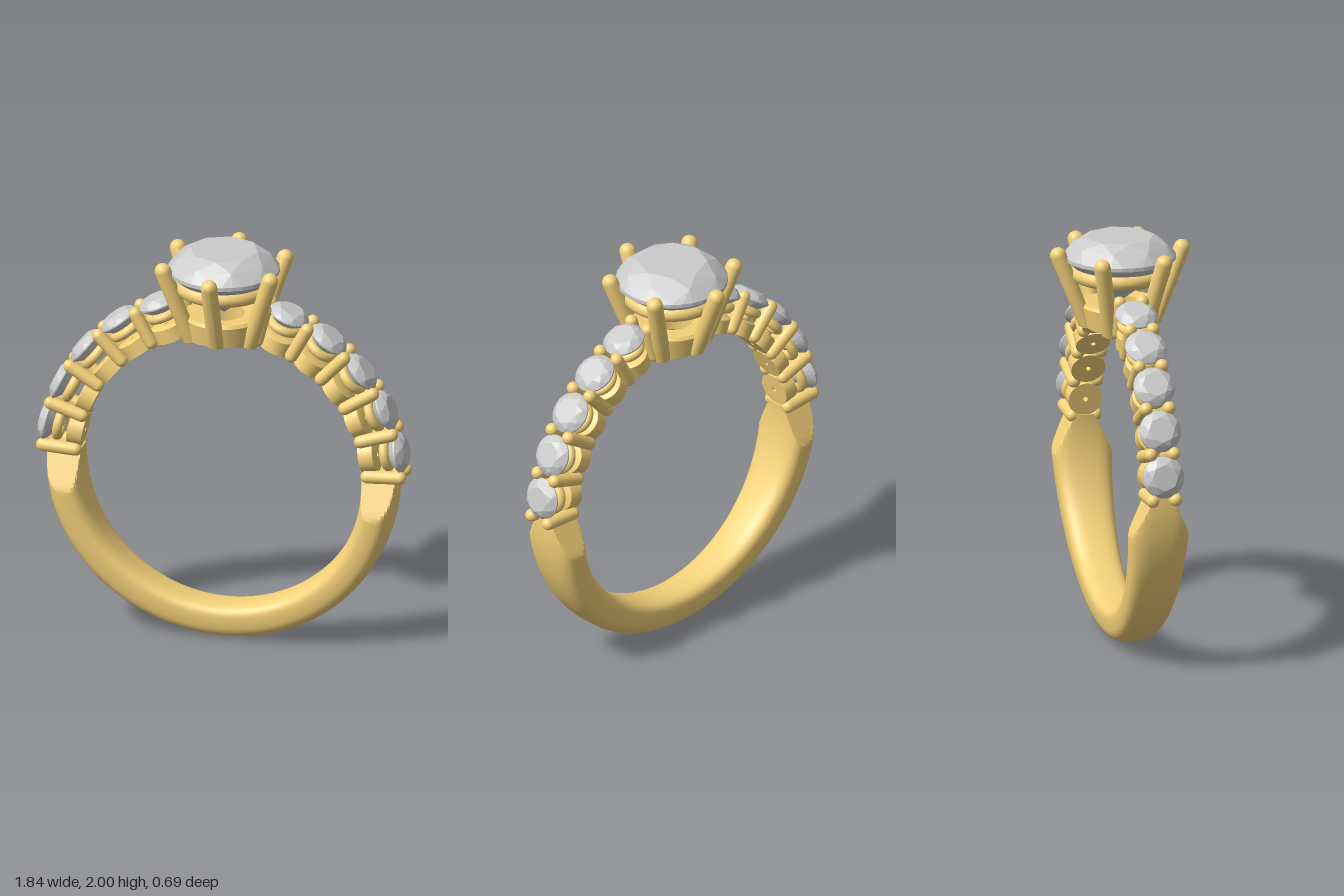
import * as THREE from 'three';
import { toCreasedNormals } from 'three/addons/utils/BufferGeometryUtils.js';
import { ConvexGeometry } from 'three/addons/geometries/ConvexGeometry.js';

const CY = 0.865, R_IN = 0.695, R_OUT = 0.865; // ring centre height and radii
const rad = THREE.MathUtils.degToRad;
const gold = new THREE.MeshStandardMaterial({ color: 0xf5d27a });
const gem = new THREE.MeshStandardMaterial({ color: 0xcccccc });

function add(parent, name, geometry, material = gold) {
  const mesh = new THREE.Mesh(geometry, material);
  mesh.name = name;
  parent.add(mesh);
  return mesh;
}

// Round-ended rod between two points
function rod(from, to, radius) {
  const dir = new THREE.Vector3().subVectors(to, from);
  const g = new THREE.CapsuleGeometry(radius, dir.length(), 6, 18);
  g.applyQuaternion(new THREE.Quaternion().setFromUnitVectors(new THREE.Vector3(0, 1, 0), dir.clone().normalize()));
  return g.translate((from.x + to.x) / 2, (from.y + to.y) / 2, (from.z + to.z) / 2);
}

// Trim anything reaching into the finger hole
function trimToFinger(g) {
  const p = g.attributes.position;
  for (let i = 0; i < p.count; i++) {
    const floor = CY + Math.sqrt(R_IN ** 2 - p.getX(i) ** 2);
    if (p.getY(i) < floor) p.setY(i, floor);
  }
  return toCreasedNormals(g, 0.6);
}

// Solid or hollow turned part with sharp edges
function turned(profile, segments = 48) {
  const g = new THREE.LatheGeometry(profile.map(([r, y]) => new THREE.Vector2(r, y)), segments);
  return toCreasedNormals(g, 0.6);
}

// Faceted round stone with its girdle at y = 0
function stoneGeometry(radius) {
  const points = [];
  const ring = (r, y, n, turn = 0) => {
    for (let i = 0; i < n; i++) {
      const a = ((i + turn) / n) * Math.PI * 2;
      points.push(new THREE.Vector3(r * Math.cos(a), y, r * Math.sin(a)).multiplyScalar(radius));
    }
  };
  ring(0.62, 0.37, 8);         // table
  ring(0.85, 0.235, 8, 0.5);   // crown
  ring(1, 0.035, 32);          // girdle
  ring(1, -0.035, 32);
  ring(0.6, -0.37, 16, 0.5);   // pavilion
  points.push(new THREE.Vector3(0, -0.84 * radius, 0));
  return new ConvexGeometry(points);
}

// Lower band: rounded section, widest at the shoulders, planed thin at its ends
function shankGeometry() {
  const steps = 120, sides = 36, pos = [], index = [];
  const start = rad(4), sweep = -(Math.PI + 2 * start);
  const soft = (v, e) => Math.sign(v) * Math.abs(v) ** e;
  for (let i = 0; i <= steps; i++) {
    const a = start + (sweep * i) / steps;
    for (let j = 0; j < sides; j++) {
      const t = (j / sides) * Math.PI * 2;
      const r = (R_IN + R_OUT) / 2 + ((R_OUT - R_IN) / 2) * soft(Math.cos(t), 0.65);
      const y = CY + r * Math.sin(a);
      const width = 0.088 + 0.057 * Math.min(1, Math.max(0, y) / 0.72) ** 0.75;
      const plane = Math.max(0.055, 0.06 + (0.89 - y) * 0.48);
      const z = Math.min(width * Math.abs(soft(Math.sin(t), 0.65)), plane) * Math.sign(Math.sin(t));
      pos.push(r * Math.cos(a), y, z);
    }
  }
  for (let i = 0; i < steps; i++) {
    for (let j = 0; j < sides; j++) {
      const k = (j + 1) % sides;
      const p = i * sides + j, q = i * sides + k, s = p + sides, u = q + sides;
      index.push(p, s, q, q, s, u);
    }
  }
  // End caps
  const last = steps * sides;
  for (let j = 1; j < sides - 1; j++) {
    index.push(0, j, j + 1, last, last + j + 1, last + j);
  }
  const g = new THREE.BufferGeometry();
  g.setAttribute('position', new THREE.Float32BufferAttribute(pos, 3));
  g.setIndex(index);
  // Make sure the skin faces outward
  const v = (n) => new THREE.Vector3().fromArray(pos, n * 3);
  const mid = 60 * sides;
  const normal = v(mid + sides).sub(v(mid)).cross(v(mid + 1).sub(v(mid)));
  const outward = v(mid).sub(new THREE.Vector3(0, CY, 0));
  if (normal.dot(outward) < 0) {
    for (let i = 0; i < index.length; i += 3) [index[i], index[i + 1]] = [index[i + 1], index[i]];
    g.setIndex(index);
  }
  return toCreasedNormals(g, 0.38);
}

// One shoulder of five small stones; side is +1 or -1
function shoulder(side) {
  const group = new THREE.Group();
  group.name = side > 0 ? 'leftShoulder' : 'rightShoulder';
  const first = 3.3, step = 14.5;
  const base = turned([[0.012, 0.775], [0.012, 0.698], [0.084, 0.698], [0.084, 0.77], [0.075, 0.775], [0.012, 0.775]], 32);
  const collar = new THREE.TorusGeometry(0.064, 0.024, 12, 36).rotateX(Math.PI / 2).translate(0, 0.825, 0);
  const stone = stoneGeometry(0.102).translate(0, 0.885, 0);
  for (let i = 0; i < 5; i++) {
    const setting = new THREE.Group();
    setting.name = 'smallSetting';
    setting.position.y = CY;
    setting.rotation.z = -side * rad(90 - first - step * (i + 0.5));
    add(setting, 'settingBase', base);
    add(setting, 'settingCollar', collar);
    add(setting, 'smallStone', stone, gem);
    group.add(setting);
  }
  // Paired radial prongs between the stones
  for (let i = 0; i <= 5; i++) {
    const a = rad(first + step * i);
    const at = (r, z) => new THREE.Vector3(side * r * Math.cos(a), CY + r * Math.sin(a), z);
    for (const z of [-0.057, 0.057]) {
      add(group, 'smallProng', rod(at(0.725, z), at(0.888, z), 0.032));
    }
  }
  return group;
}

// Centre setting: base ring, gallery ring, six prongs and the large stone
function head() {
  const group = new THREE.Group();
  group.name = 'head';
  const base = turned([[0.1, 1.67], [0.1, 1.5], [0.175, 1.5], [0.195, 1.66], [0.185, 1.675], [0.1, 1.67]]);
  add(group, 'headBase', trimToFinger(base));
  add(group, 'galleryRing', new THREE.TorusGeometry(0.205, 0.039, 16, 64).rotateX(Math.PI / 2).translate(0, 1.822, 0));
  for (let i = 0; i < 6; i++) {
    const a = rad(30 + 60 * i);
    const at = (r, y) => new THREE.Vector3(r * Math.cos(a), y, r * Math.sin(a));
    add(group, 'headProng', trimToFinger(rod(at(0.165, 1.51), at(0.307, 1.922), 0.04)));
  }
  add(group, 'centreStone', stoneGeometry(0.27).translate(0, 1.9, 0), gem);
  return group;
}

export function createModel() {
  const model = new THREE.Group();
  model.name = 'ring';
  add(model, 'shank', shankGeometry());
  model.add(shoulder(1), shoulder(-1), head());
  return model;
}
